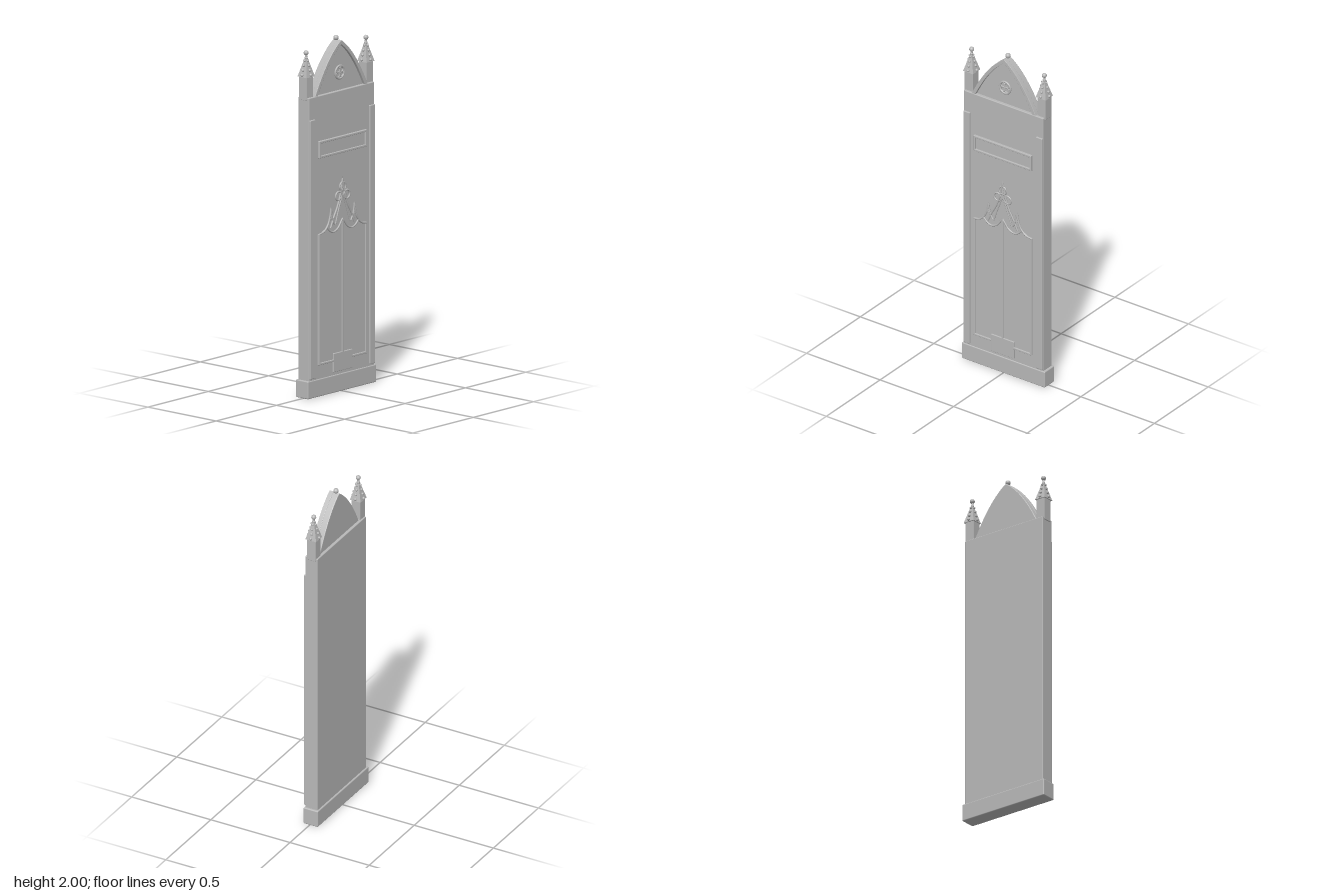
import * as THREE from 'three';
import { RoundedBoxGeometry } from 'three/addons/geometries/RoundedBoxGeometry.js';

export function createModel() {
  const model = new THREE.Group();
  const stone = new THREE.MeshStandardMaterial({ color: 0xb8b8b8 });
  stone.name = 'grey stone';

  const add = (name, geometry, parent = model) => {
    const mesh = new THREE.Mesh(geometry, stone);
    mesh.name = name;
    parent.add(mesh);
    return mesh;
  };
  // Box given by its limits, with softened edges
  const block = (name, x0, x1, y0, y1, z0, z1, r = 0.003, parent = model) => {
    const m = add(name, new RoundedBoxGeometry(x1 - x0, y1 - y0, z1 - z0, 2, r), parent);
    m.position.set((x0 + x1) / 2, (y0 + y1) / 2, (z0 + z1) / 2);
    return m;
  };
  // Moulding that follows flat points
  const moulding = (name, points, z, r, parent) => {
    const path = new THREE.CatmullRomCurve3(points.map(([x, y]) => new THREE.Vector3(x, y, z)), false, 'centripetal');
    return add(name, new THREE.TubeGeometry(path, 24, r, 8), parent);
  };
  const ring = (name, x, y, z, r, t, parent) => {
    const m = add(name, new THREE.TorusGeometry(r, t, 8, 28), parent);
    m.position.set(x, y, z);
  };

  // Plinth, slab and side strips
  block('base', -0.283, 0.283, 0, 0.1, -0.052, 0.04, 0.006);
  block('body', -0.27, 0.27, 0.095, 1.695, -0.043, 0.036, 0.004);
  for (const s of [-1, 1]) {
    block('sideStrip', s * 0.247 - 0.022, s * 0.247 + 0.022, 0.11, 1.57, 0.03, 0.045, 0.004);
  }

  // Framed name plate
  const plate = new THREE.Group();
  plate.name = 'plaque';
  model.add(plate);
  block('plaquePanel', -0.19, 0.19, 1.35, 1.435, 0.03, 0.041, 0.002, plate);
  for (const y of [1.345, 1.428]) block('plaqueRail', -0.197, 0.197, y, y + 0.013, 0.03, 0.05, 0.003, plate);
  for (const x of [-0.197, 0.184]) block('plaqueStile', x, x + 0.013, 1.345, 1.441, 0.03, 0.05, 0.003, plate);

  // Double door panel with its mouldings
  const door = new THREE.Group();
  door.name = 'door';
  model.add(door);
  const panel = new THREE.Shape();
  panel.moveTo(-0.192, 0.185);
  panel.lineTo(0.192, 0.185);
  panel.lineTo(0.192, 0.915);
  panel.quadraticCurveTo(0.12, 0.93, 0.097, 1.0);
  panel.lineTo(0.085, 0.96);
  panel.quadraticCurveTo(0.025, 1.03, 0, 1.17);
  panel.quadraticCurveTo(-0.025, 1.03, -0.085, 0.96);
  panel.lineTo(-0.097, 1.0);
  panel.quadraticCurveTo(-0.12, 0.93, -0.192, 0.915);
  add('doorPanel', new THREE.ExtrudeGeometry(panel, { depth: 0.004, bevelEnabled: false }), door).position.z = 0.0355;
  block('doorSill', -0.199, 0.199, 0.178, 0.19, 0.033, 0.047, 0.003, door);
  block('centrePost', -0.007, 0.007, 0.22, 0.97, 0.033, 0.047, 0.003, door);
  block('footBlock', -0.078, 0.078, 0.118, 0.224, 0.033, 0.047, 0.003, door);

  // Pointed tracery above the door
  for (const s of [-1, 1]) {
    const line = (name, pts, r = 0.0055) =>
      moulding(name, pts.map(([x, y]) => [s * x, y]), 0.043, r, door);
    const x = s * 0.193;
    block('doorStile', x - 0.006, x + 0.006, 0.178, 0.918, 0.033, 0.047, 0.003, door);
    line('outerOgee', [[0.195, 0.915], [0.155, 0.925], [0.122, 0.958], [0.104, 1.005], [0.097, 1.045]]);
    line('innerOgee', [[0.097, 1.045], [0.09, 1.0], [0.076, 0.965], [0.066, 0.95]]);
    line('doorArch', [[0.13, 0.945], [0.105, 0.92], [0.075, 0.91], [0.04, 0.925], [0.012, 0.96], [0, 0.975]], 0.005);
    line('centralOgee', [[0.1, 0.935], [0.075, 0.99], [0.045, 1.045], [0.022, 1.105], [0.007, 1.17], [0, 1.2]]);
    line('innerRib', [[0.062, 0.945], [0.04, 1.01], [0.02, 1.065], [0, 1.11]], 0.004);
    ring('trefoilLobe', s * 0.034, 1.105, 0.043, 0.024, 0.005, door);
    const tip = add('sideSpike', new THREE.ConeGeometry(0.012, 0.065, 8), door);
    tip.scale.z = 0.6;
    tip.position.set(s * 0.097, 1.022, 0.042);
  }
  ring('trefoilTop', 0, 1.155, 0.043, 0.024, 0.005, door);
  const spike = add('centreSpike', new THREE.ConeGeometry(0.009, 0.09, 8), door);
  spike.scale.z = 0.7;
  spike.position.set(0, 1.178, 0.042);

  // Pointed gable with a raised rim
  const gable = new THREE.Group();
  gable.name = 'gable';
  model.add(gable);
  const arch = (path, k) => {
    path.moveTo(-0.217 * k, 1.69);
    path.quadraticCurveTo(-0.115 * k, 1.69 + 0.21 * k, 0, 1.69 + 0.285 * k);
    path.quadraticCurveTo(0.115 * k, 1.69 + 0.21 * k, 0.217 * k, 1.69);
    path.closePath();
    return path;
  };
  add('gablePanel', new THREE.ExtrudeGeometry(arch(new THREE.Shape(), 0.98), {
    depth: 0.037, bevelThickness: 0.004, bevelSize: 0.004, bevelSegments: 2, curveSegments: 24,
  }), gable).position.z = -0.023;
  const rim = new THREE.Shape();
  rim.moveTo(-0.217, 1.69);
  rim.quadraticCurveTo(-0.115, 1.9, 0, 1.975);
  rim.quadraticCurveTo(0.115, 1.9, 0.217, 1.69);
  rim.lineTo(0.198, 1.69);
  rim.quadraticCurveTo(0.104, 1.884, 0, 1.955);
  rim.quadraticCurveTo(-0.104, 1.884, -0.198, 1.69);
  rim.closePath();
  add('gableRim', new THREE.ExtrudeGeometry(rim, {
    depth: 0.022, bevelThickness: 0.002, bevelSize: 0.002, bevelSegments: 2, curveSegments: 24,
  }), gable).position.z = 0.01;
  add('gableBall', new THREE.SphereGeometry(0.015, 20, 14), gable).position.set(0, 1.985, -0.006);

  // Rosette in the gable
  ring('rosetteRim', 0, 1.795, 0.021, 0.036, 0.006, gable);
  for (let i = 0; i < 4; i++) {
    const a = (i + 0.5) * Math.PI / 2;
    ring('rosetteLobe', 0.019 * Math.cos(a), 1.795 + 0.019 * Math.sin(a), 0.02, 0.0145, 0.004, gable);
  }

  // Corner pinnacles with crockets and ball tops
  for (const s of [-1, 1]) {
    const pin = new THREE.Group();
    pin.name = 'pinnacle';
    pin.position.set(s * 0.247, 0, -0.006);
    model.add(pin);
    block('pinnacleShaft', -0.028, 0.028, 1.68, 1.812, -0.028, 0.028, 0.002, pin);
    const spire = new THREE.CylinderGeometry(0.006, 0.034 * Math.SQRT2, 0.11, 4).toNonIndexed();
    spire.rotateY(Math.PI / 4);
    spire.computeVertexNormals();
    add('spire', spire, pin).position.y = 1.865;
    add('neck', new THREE.CylinderGeometry(0.005, 0.007, 0.03, 10), pin).position.y = 1.925;
    add('collar', new THREE.SphereGeometry(0.009, 12, 8), pin).position.y = 1.914;
    add('topBall', new THREE.SphereGeometry(0.014, 16, 12), pin).position.y = 1.943;
    for (let row = 0; row < 4; row++) {
      for (let i = 0; i < 4; i++) {
        const d = 0.034 - row * 0.007;
        const a = i * Math.PI / 2;
        add('crocket', new THREE.SphereGeometry(0.0085 - row * 0.0006, 10, 8), pin)
          .position.set(d * Math.cos(a), 1.822 + row * 0.026, d * Math.sin(a));
      }
    }
  }
  return model;
}
